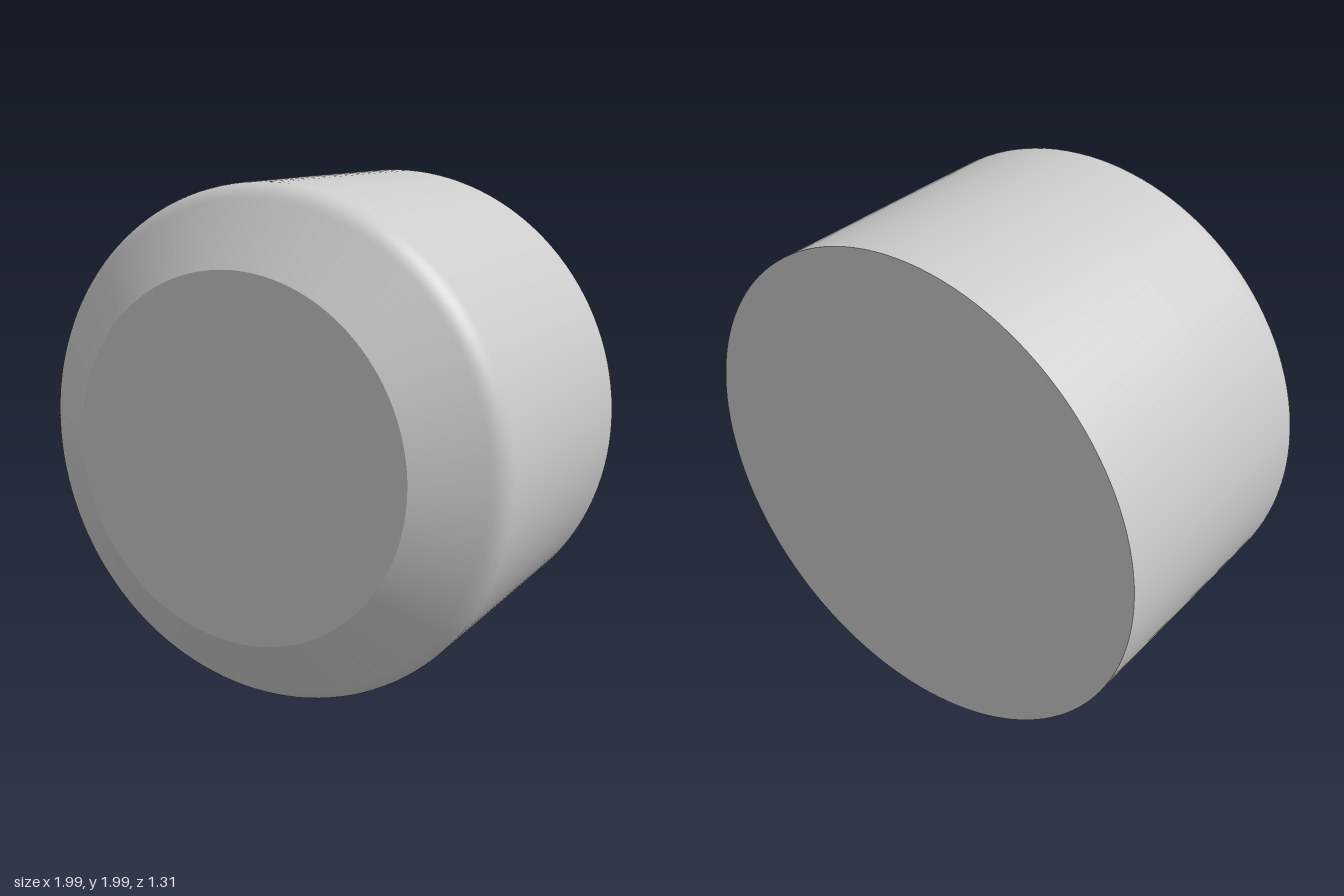
import * as THREE from 'three';

const SEGMENTS = 128;
const RADIUS = 0.993;
const FACE_RADIUS = 0.7;
const HALF_DEPTH = 0.655;

export function createModel() {
  const group = new THREE.Group();
  group.name = 'roundKnob';
  const material = new THREE.MeshStandardMaterial({ color: 0xcccccc });

  const add = (name, geometry) => {
    const mesh = new THREE.Mesh(geometry, material);
    mesh.name = name;
    mesh.position.y = 1;
    group.add(mesh);
    return mesh;
  };

  // Side wall, rounded shoulder and sloping front, turned about the z axis
  const shoulder = new THREE.QuadraticBezierCurve(
    new THREE.Vector2(RADIUS, 0.4),
    new THREE.Vector2(RADIUS, 0.464),
    new THREE.Vector2(0.935, 0.5)
  );
  const profile = [
    new THREE.Vector2(RADIUS - 0.003, -HALF_DEPTH),
    new THREE.Vector2(RADIUS, 0),
    ...shoulder.getPoints(8),
    new THREE.Vector2(FACE_RADIUS, HALF_DEPTH),
  ];
  add('body', new THREE.LatheGeometry(profile, SEGMENTS).rotateX(Math.PI / 2));

  // Flat ends
  add('frontFace', new THREE.CircleGeometry(FACE_RADIUS, SEGMENTS)).position.z = HALF_DEPTH;
  const back = add('backFace', new THREE.CircleGeometry(RADIUS - 0.003, SEGMENTS));
  back.rotation.y = Math.PI;
  back.position.z = -HALF_DEPTH;

  return group;
}
